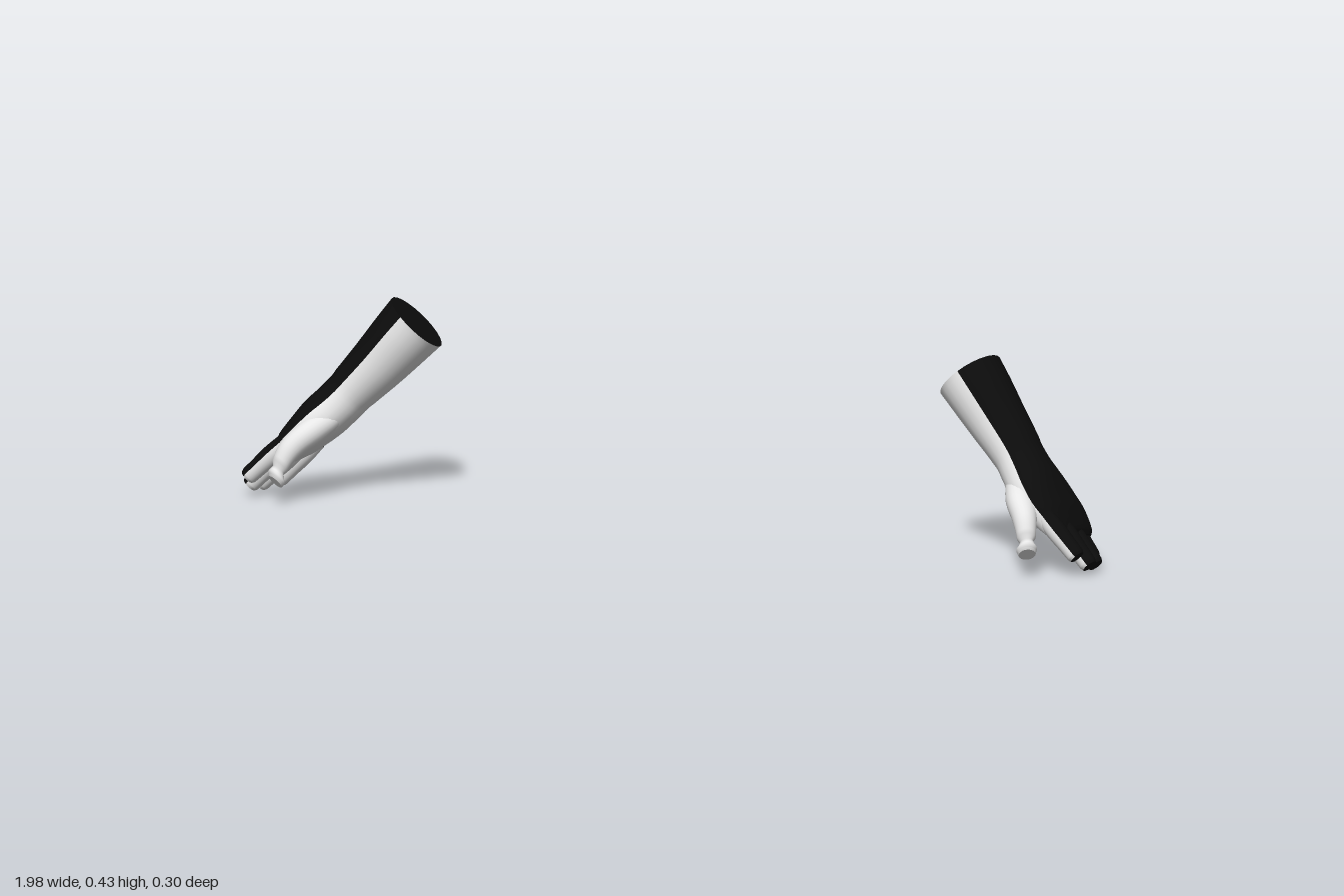
import * as THREE from 'three';

const V = (x, y, z) => new THREE.Vector3(x, y, z);
const SIDES = 24;
const SEAM = THREE.MathUtils.degToRad(20); // turn of the colour seam towards the little finger

// Sections: [x, y, z, half width, half thickness, squareness exponent]
const SLEEVE = [
  [0.645, 0.383, -0.075, 0.076, 0.072, 1], [0.678, 0.345, -0.066, 0.073, 0.068, 1],
  [0.725, 0.29, -0.052, 0.066, 0.061, 1], [0.77, 0.24, -0.037, 0.062, 0.054, 1],
  [0.80, 0.205, -0.022, 0.065, 0.051, 0.95], [0.83, 0.174, -0.008, 0.078, 0.05, 0.9],
  [0.865, 0.138, 0.001, 0.088, 0.042, 0.85], [0.895, 0.108, 0.004, 0.085, 0.032, 0.8],
  [0.918, 0.083, 0.008, 0.078, 0.02, 0.8], [0.925, 0.076, 0.009, 0.068, 0.01, 0.8],
];
const THUMB = [
  [0.80, 0.18, 0.02, 0.026, 0.026, 1], [0.83, 0.152, 0.066, 0.034, 0.03, 1],
  [0.857, 0.122, 0.105, 0.026, 0.025, 1], [0.87, 0.09, 0.125, 0.02, 0.02, 1],
  [0.875, 0.062, 0.133, 0.02, 0.02, 1], [0.876, 0.057, 0.134, 0.018, 0.018, 1],
];
// Fingers: base and tip
const FINGERS = {
  indexFinger: [V(0.885, 0.128, 0.066), V(0.967, 0.049, 0.079)],
  middleFinger: [V(0.89, 0.116, 0.023), V(0.979, 0.024, 0.043)],
  ringFinger: [V(0.885, 0.108, -0.019), V(0.975, 0.018, 0.004)],
  littleFinger: [V(0.87, 0.11, -0.061), V(0.95, 0.022, -0.036)],
};

// Smooth tube through the sections, black on the back of the hand, white on the palm
function loft(sections, steps, mirror, allWhite) {
  const path = new THREE.CatmullRomCurve3(sections.map(s => V(s[0], s[1], s[2])));
  const sizes = new THREE.CatmullRomCurve3(sections.map(s => V(s[3], s[4], s[5])));
  const axis = path.getPoint(1).sub(path.getPoint(0)).normalize();
  const back = V(0.74, 0.67, 0);
  back.addScaledVector(axis, -back.dot(axis)).normalize();
  const side = axis.clone().cross(back);
  const pos = [], black = [], white = [];
  const power = (v, p) => Math.sign(v) * Math.abs(v) ** p;
  const add = p => pos.push(mirror ? -p.x : p.x, p.y, p.z);
  const tri = (list, a, b, c) => mirror ? list.push(a, c, b) : list.push(a, b, c);

  const ring = t => {
    const c = path.getPoint(t), s = sizes.getPoint(t);
    for (let j = 0; j < SIDES; j++) {
      const a = (j / SIDES) * Math.PI * 2;
      add(c.clone().addScaledVector(back, s.y * power(Math.cos(a), s.z))
        .addScaledVector(side, s.x * power(Math.sin(a), s.z)));
    }
    return c;
  };

  for (let i = 0; i <= steps; i++) ring(i / steps);
  for (let i = 0; i < steps; i++) {
    for (let j = 0; j < SIDES; j++) {
      const k = (j + 1) % SIDES, a = i * SIDES, b = a + SIDES;
      const isBlack = !allWhite && Math.cos(((j + 0.5) / SIDES) * Math.PI * 2 + SEAM) > 0;
      const list = isBlack ? black : white;
      tri(list, a + j, a + k, b + k);
      tri(list, a + j, b + k, b + j);
    }
  }
  // flat end faces with their own corners so the rims stay sharp
  for (const t of [0, 1]) {
    const first = pos.length / 3;
    add(ring(t));
    const centre = first + SIDES, list = allWhite ? white : black;
    for (let j = 0; j < SIDES; j++) {
      const a = first + j, b = first + (j + 1) % SIDES;
      if (t) tri(list, centre, a, b); else tri(list, centre, b, a);
    }
  }

  const geo = new THREE.BufferGeometry();
  geo.setAttribute('position', new THREE.Float32BufferAttribute(pos, 3));
  geo.setIndex([...black, ...white]);
  geo.addGroup(0, black.length, 0);
  geo.addGroup(black.length, white.length, 1);
  geo.computeVertexNormals();
  return geo;
}

export function createModel() {
  const blackCloth = new THREE.MeshStandardMaterial({ color: 0x0c0c0c });
  blackCloth.name = 'blackCloth';
  const whiteCloth = new THREE.MeshStandardMaterial({ color: 0xe6e6e6 });
  whiteCloth.name = 'whiteCloth';

  const model = new THREE.Group();
  model.name = 'glovePair';

  for (const mirror of [false, true]) {
    const glove = new THREE.Group();
    glove.name = mirror ? 'rightGlove' : 'leftGlove';
    const part = (name, geo) => {
      const mesh = new THREE.Mesh(geo, [blackCloth, whiteCloth]);
      mesh.name = name;
      glove.add(mesh);
    };
    // forearm, wrist and palm in one sleeve, then the cut-off thumb
    part('sleeveAndPalm', loft(SLEEVE, 36, mirror, false));
    part('thumb', loft(THUMB, 20, mirror, true));
    // cut-off fingers with slightly rounded rims
    for (const [name, [base, tip]] of Object.entries(FINGERS)) {
      const sections = [[0, 0.02], [0.35, 0.022], [0.7, 0.02], [0.94, 0.019], [1, 0.016]].map(([t, r]) => {
        const p = base.clone().lerp(tip, t);
        return [p.x, p.y, p.z, r, r, 1];
      });
      part(name, loft(sections, 12, mirror, false));
    }
    model.add(glove);
  }
  return model;
}
